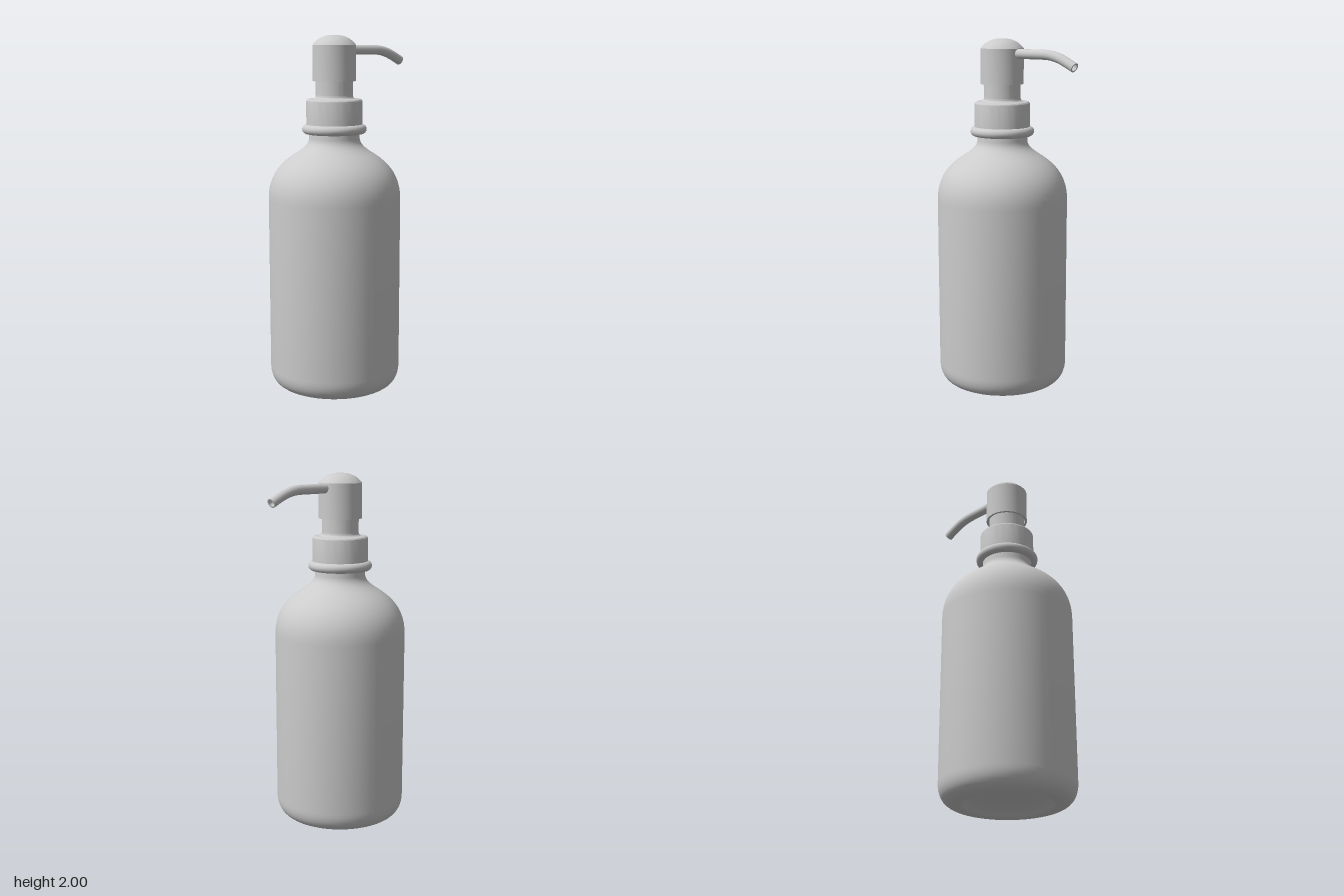
import * as THREE from 'three';
import { toCreasedNormals } from 'three/addons/utils/BufferGeometryUtils.js';

const material = new THREE.MeshStandardMaterial({ color: 0xcccccc, side: THREE.DoubleSide });

// Turned part from a [radius, height] path; sharp corners stay sharp
function turned(name, path) {
  const points = path.getPoints(10).map((p) => new THREE.Vector2(Math.max(p.x, 0), p.y));
  const geometry = toCreasedNormals(new THREE.LatheGeometry(points, 64), 0.6);
  const mesh = new THREE.Mesh(geometry, material);
  mesh.name = name;
  return mesh;
}

const vectors = (list) => list.map(([x, y]) => new THREE.Vector2(x, y));

export function createModel() {
  const model = new THREE.Group();
  model.name = 'soapDispenser';
  const bottle = new THREE.Group();
  bottle.name = 'bottleAndPump';
  bottle.position.z = 0.072;
  model.add(bottle);

  // Bottle: domed hollow base, rounded foot, straight wall, curved shoulder, neck
  const body = new THREE.Path();
  body.moveTo(0, 0.07);
  body.bezierCurveTo(0.12, 0.07, 0.2, 0.045, 0.235, 0.015);
  body.quadraticCurveTo(0.25, 0, 0.275, 0);
  body.bezierCurveTo(0.34, 0.005, 0.372, 0.05, 0.372, 0.12);
  body.lineTo(0.372, 1.09);
  body.bezierCurveTo(0.372, 1.2, 0.325, 1.275, 0.235, 1.335);
  body.bezierCurveTo(0.185, 1.368, 0.145, 1.39, 0.142, 1.43);
  body.lineTo(0.142, 1.52);
  bottle.add(turned('bottle', body));

  // Ring around the neck
  const ring = new THREE.Mesh(new THREE.TorusGeometry(0.154, 0.027, 16, 64), material);
  ring.name = 'neckRing';
  ring.rotation.x = Math.PI / 2;
  ring.position.y = 1.482;
  bottle.add(ring);

  // Screw collar with a softened top edge, flowing into the pump stem
  const collar = new THREE.Path();
  collar.moveTo(0.13, 1.5);
  collar.lineTo(0.157, 1.5);
  collar.lineTo(0.157, 1.632);
  collar.quadraticCurveTo(0.157, 1.65, 0.139, 1.65);
  collar.lineTo(0.122, 1.65);
  collar.quadraticCurveTo(0.104, 1.652, 0.104, 1.672);
  collar.lineTo(0.104, 1.79);
  bottle.add(turned('collarAndStem', collar));

  // Pump head: recessed underside, straight side, domed top
  const head = new THREE.Path();
  head.moveTo(0, 1.785);
  head.lineTo(0.109, 1.785);
  head.lineTo(0.109, 1.748);
  head.lineTo(0.121, 1.748);
  head.lineTo(0.121, 1.945);
  head.splineThru(vectors([[0.108, 1.96], [0.083, 1.98], [0.045, 1.995], [0, 2]]));
  bottle.add(turned('pumpHead', head));

  // Spout: bent tube with an open end
  const spout = new THREE.Group();
  spout.name = 'spout';
  const path = new THREE.CurvePath();
  const v = (y, z) => new THREE.Vector3(0, y, z);
  path.add(new THREE.LineCurve3(v(1.917, 0), v(1.917, -0.22)));
  path.add(new THREE.CubicBezierCurve3(v(1.917, -0.22), v(1.917, -0.3), v(1.9, -0.345), v(1.854, -0.435)));
  const outer = 0.027, inner = 0.019;
  for (const [name, radius] of [['spoutWall', outer], ['spoutBore', inner]]) {
    const tube = new THREE.Mesh(new THREE.TubeGeometry(path, 40, radius, 24), material);
    tube.name = name;
    spout.add(tube);
  }
  const lip = new THREE.Mesh(new THREE.RingGeometry(inner, outer, 24), material);
  lip.name = 'spoutLip';
  const end = path.getPointAt(1);
  lip.position.copy(end);
  lip.lookAt(end.clone().add(path.getTangentAt(1)));
  spout.add(lip);
  model.add(spout);

  return model;
}
